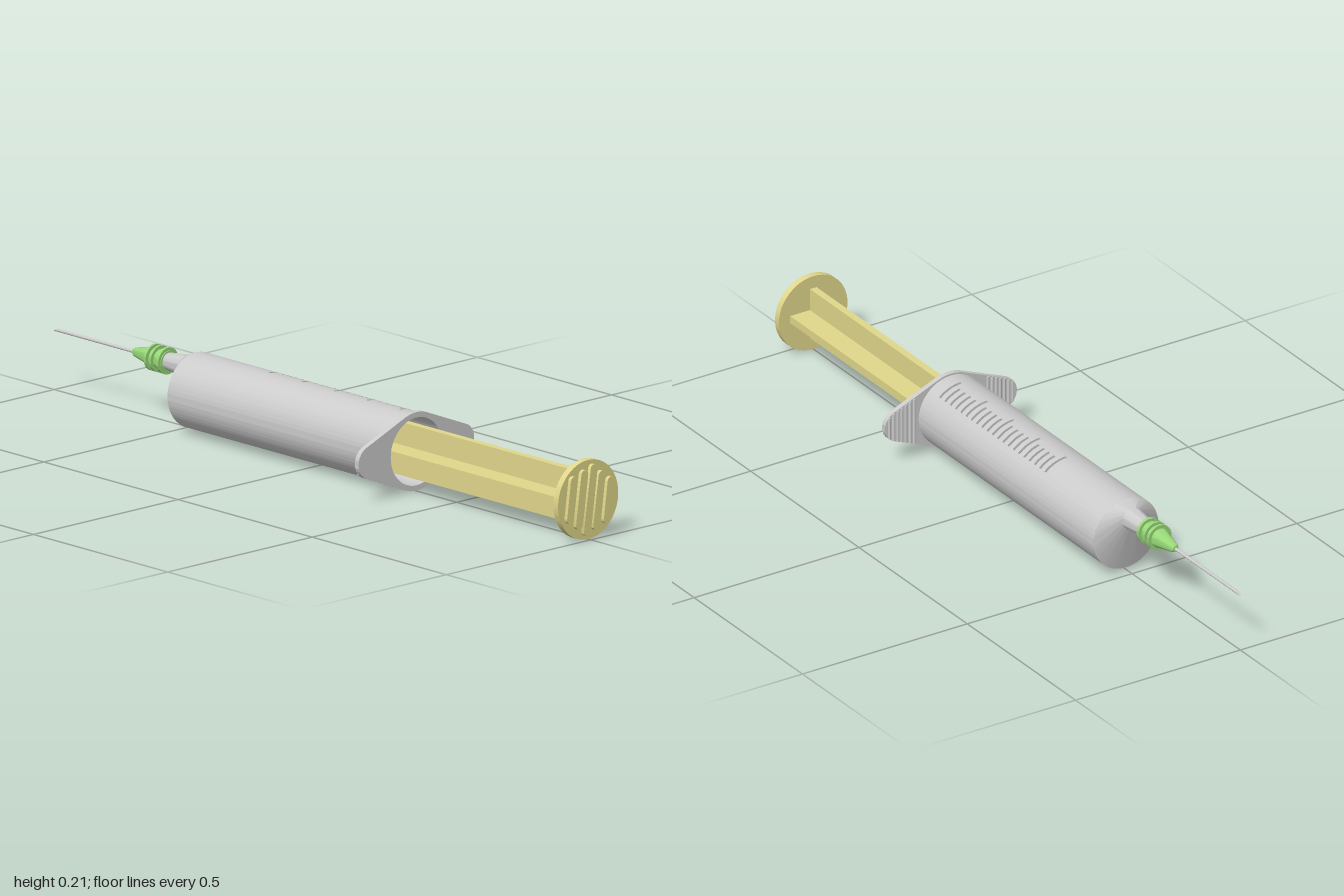
import * as THREE from 'three';
import { toCreasedNormals } from 'three/addons/utils/BufferGeometryUtils.js';

const AXIS = 0.105;    // height of the barrel axis
const TIP = 0.16;      // height of the off-centre nozzle axis
const R = 0.098, RI = 0.089;

export function createModel() {
  const grey = new THREE.MeshStandardMaterial({ color: 0xcccccc, side: THREE.DoubleSide });
  const yellow = new THREE.MeshStandardMaterial({ color: 0xe0d68a });
  const green = new THREE.MeshStandardMaterial({ color: 0x98d878 });

  const model = new THREE.Group();
  model.name = 'syringe';
  const groupOf = (name, y) => {
    const g = new THREE.Group();
    g.name = name;
    g.position.y = y;
    model.add(g);
    return g;
  };
  const add = (parent, name, geo, mat, crease = 0.6) => {
    const mesh = new THREE.Mesh(toCreasedNormals(geo, crease), mat);
    mesh.name = name;
    parent.add(mesh);
    return mesh;
  };
  // Flat outline extruded from z0 to z1
  const slab = (shape, z0, z1, curveSegments = 48) =>
    new THREE.ExtrudeGeometry(shape, { depth: z1 - z0, bevelEnabled: false, curveSegments }).translate(0, 0, z0);
  // Surface of revolution about z; points are [radius, z] with z rising
  const turned = (points, segments = 40) =>
    new THREE.LatheGeometry(points.map(([r, z]) => new THREE.Vector2(r, z)), segments).rotateX(Math.PI / 2);
  // Curved piece of the barrel wall
  const wall = (a0, a1, z0, z1, segments) => {
    const s = new THREE.Shape();
    s.absarc(0, 0, R, a0, a1, false);
    s.absarc(0, 0, RI, a1, a0, true);
    s.closePath();
    return slab(s, z0, z1, segments);
  };

  // Barrel wall with graduation slits along the upper left
  const barrel = groupOf('barrel', AXIS);
  const top = Math.PI / 2, markEnd = Math.acos(0.065 / R), shortEnd = Math.acos(0.02 / R);
  const back = -0.472, front = 0.34;
  add(barrel, 'barrelWall', wall(top, markEnd + Math.PI * 2, back, front, 72), grey);
  const marks = 21, first = -0.198, pitch = 0.0243, half = 0.004;
  let z = back;
  for (let i = 0; i <= marks; i++) {
    const mark = first + i * pitch;
    const end = i < marks ? mark - half : front;
    add(barrel, 'graduationWall', wall(markEnd, top, z, end, 10), grey);
    if (i < marks && i % 5) {
      add(barrel, 'shortMarkWall', wall(shortEnd, top, mark - half, mark + half, 4), grey);
    }
    z = mark + half;
  }

  // Skewed shoulder that leads to the off-centre nozzle
  const shoulder = new THREE.CylinderGeometry(R, 0.031, 0.03, 64, 1, true).rotateX(Math.PI / 2);
  const pos = shoulder.attributes.position;
  for (let i = 0; i < pos.count; i++) {
    if (pos.getZ(i) < 0) pos.setY(i, pos.getY(i) + TIP - AXIS);
  }
  shoulder.translate(0, 0, back - 0.015);
  add(barrel, 'shoulder', shoulder, grey);

  // Finger flange: round centre with two tapering wings
  const flange = groupOf('fingerFlange', AXIS);
  const big = 0.103, small = 0.044, wing = 0.156;
  const t = Math.acos((big - small) / wing);
  const outline = new THREE.Shape();
  outline.absarc(wing, 0, small, -t, t, false);
  outline.absarc(0, 0, big, t, Math.PI - t, false);
  outline.absarc(-wing, 0, small, Math.PI - t, Math.PI + t, false);
  outline.absarc(0, 0, big, Math.PI + t, Math.PI * 2 - t, false);
  outline.closePath();
  const bore = new THREE.Path();
  bore.absarc(0, 0, RI, 0, Math.PI * 2, true);
  outline.holes.push(bore);
  add(flange, 'flangePlate', slab(outline, 0.336, 0.35, 32), grey, 0.5);

  // Grip ridges on the rear of each wing
  const knee = wing + small * Math.cos(t);
  for (const side of [-1, 1]) {
    for (let i = 0; i < 7; i++) {
      const x = 0.112 + i * 0.0125;
      const h = x < knee
        ? (big - x * Math.cos(t)) / Math.sin(t)
        : Math.sqrt(small * small - (x - wing) ** 2);
      const ridge = new THREE.CylinderGeometry(0.004, 0.004, 2 * h - 0.004, 10);
      add(flange, 'gripRidge', ridge, grey).position.set(side * x, 0, 0.336);
    }
  }

  // Plunger: cross-shaped rod, piston and thumb disc
  const plunger = groupOf('plunger', AXIS);
  const a = 0.07, b = 0.01;
  const cross = new THREE.Shape([
    [b, b], [b, a], [-b, a], [-b, b], [-a, b], [-a, -b],
    [-b, -b], [-b, -a], [b, -a], [b, -b], [a, -b], [a, b],
  ].map(([x, y]) => new THREE.Vector2(x, y)));
  add(plunger, 'plungerRod', slab(cross, 0.15, 0.975), yellow);
  add(plunger, 'piston', turned([[0, 0.09], [0.086, 0.105], [0.086, 0.15], [0, 0.15]], 48), grey);
  add(plunger, 'thumbDisc', turned([[0, 0.972], [0.104, 0.972], [0.104, 0.99], [0, 0.99]], 64), yellow);

  // Slanted raised grips on the thumb disc: [centre x, centre y, half length, lean]
  const grips = [
    [-0.0635, 0.011, 0.049, 0.135],
    [-0.03, 0.006, 0.065, 0.14],
    [0, 0, 0.081, 0.143],
    [0.03, -0.006, 0.065, 0.14],
    [0.0635, -0.011, 0.049, 0.135],
  ];
  for (const [x, y, h, lean] of grips) {
    const bar = new THREE.Shape();
    bar.absarc(0, h, 0.012, 0, Math.PI, false);
    bar.absarc(0, -h, 0.012, Math.PI, Math.PI * 2, false);
    bar.closePath();
    const grip = add(plunger, 'thumbGrip', slab(bar, 0.988, 1, 12), yellow);
    grip.position.set(x, y, 0);
    grip.rotation.z = -lean;
  }

  // Nozzle, needle hub and needle on the raised axis
  const tip = groupOf('needleAssembly', TIP);
  add(tip, 'nozzle', turned([[0.021, -0.585], [0.031, -0.5]]), grey);
  add(tip, 'needleHub', turned([
    [0, -0.703], [0.008, -0.702], [0.012, -0.695], [0.02, -0.655], [0.026, -0.632],
    [0.027, -0.572], [0.02, -0.572],
  ]), green);
  for (const [ringZ, width] of [[-0.579, 0.009], [-0.606, 0.007], [-0.625, 0.007]]) {
    const w = width / 2;
    add(tip, 'hubRing', turned([
      [0.024, ringZ - w], [0.035, ringZ - w], [0.035, ringZ + w], [0.024, ringZ + w],
    ]), green);
  }

  // Needle with a bevelled point
  const needle = new THREE.CylinderGeometry(0.0045, 0.0045, 0.3, 16).rotateX(Math.PI / 2);
  const np = needle.attributes.position;
  for (let i = 0; i < np.count; i++) {
    if (np.getZ(i) < 0) np.setZ(i, np.getZ(i) + (np.getY(i) + 0.0045) * 1.5);
  }
  add(tip, 'needle', needle.translate(0, 0, -0.85), grey);

  return model;
}
